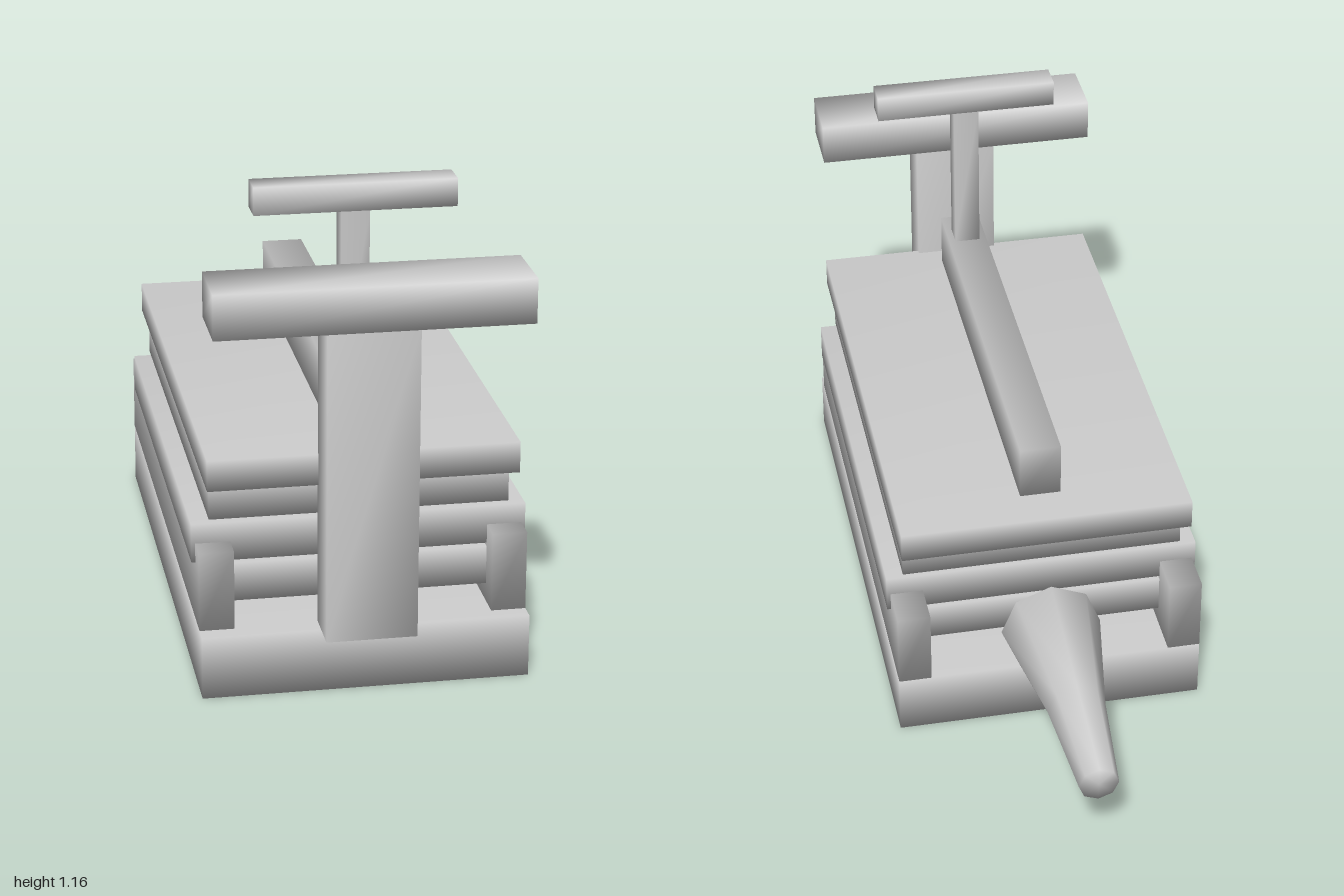
import * as THREE from 'three';
import { mergeVertices } from 'three/addons/utils/BufferGeometryUtils.js';

// Shares corner vertices so shading runs smoothly around the edges
function smooth(geometry) {
  geometry.deleteAttribute('normal');
  geometry.deleteAttribute('uv');
  const merged = mergeVertices(geometry, 1e-4);
  merged.computeVertexNormals();
  return merged;
}

export function createModel() {
  const group = new THREE.Group();
  const grey = new THREE.MeshStandardMaterial({ color: 0xcccccc });
  grey.name = 'grey';

  function add(name, geometry) {
    const mesh = new THREE.Mesh(smooth(geometry), grey);
    mesh.name = name;
    group.add(mesh);
  }

  // Box given by its lower and upper limits on each axis
  function block(name, [x0, x1], [y0, y1], [z0, z1]) {
    const box = new THREE.BoxGeometry(x1 - x0, y1 - y0, z1 - z0);
    box.translate((x0 + x1) / 2, (y0 + y1) / 2, (z0 + z1) / 2);
    add(name, box);
  }

  // Base and its two side rails
  block('base', [-0.381, 0.381], [0, 0.15], [-0.443, 0.912]);
  block('leftRail', [0.3, 0.381], [0.15, 0.341], [-0.443, 0.87]);
  block('rightRail', [-0.381, -0.3], [0.15, 0.341], [-0.443, 0.87]);

  // Stacked body plates
  block('lowerPlate', [-0.35, 0.35], [0.193, 0.286], [-0.335, 0.81]);
  block('widePlate', [-0.39, 0.39], [0.295, 0.388], [-0.335, 0.81]);
  block('upperPlate', [-0.349, 0.349], [0.398, 0.491], [-0.335, 0.81]);
  block('topPlate', [-0.36, 0.36], [0.491, 0.565], [-0.4, 0.87]);
  block('ridge', [-0.053, 0.048], [0.565, 0.7], [-0.295, 0.81]);

  // Front column with its crossbar
  block('frontColumn', [-0.106, 0.104], [0.15, 0.895], [0.857, 0.978]);
  block('frontCrossbar', [-0.361, 0.358], [0.895, 1.0], [0.832, 1.0]);

  // T-shaped handle on the ridge
  block('handleStem', [-0.034, 0.031], [0.7, 1.095], [0.683, 0.745]);
  block('handleBar', [-0.233, 0.231], [1.095, 1.16], [0.675, 0.747]);

  // Eight-sided tapering tail, its axis dropping toward the tip
  const profile = [[0, 0.443], [0.124, 0.443], [0.071, 0.745], [0.048, 0.997], [0, 0.997]];
  const tail = new THREE.LatheGeometry(profile.map(([r, y]) => new THREE.Vector2(r, y)), 8);
  tail.rotateX(-Math.PI / 2);
  const p = tail.attributes.position;
  for (let i = 0; i < p.count; i++) {
    const z = p.getZ(i);
    const drop = z < -0.9 ? 0.03 : z < -0.6 ? 0.009 : 0;
    // The end face leans slightly
    if (z < -0.9) p.setZ(i, z - p.getY(i) * 0.08);
    p.setY(i, p.getY(i) + 0.267 - drop);
  }
  add('tail', tail);

  return group;
}
